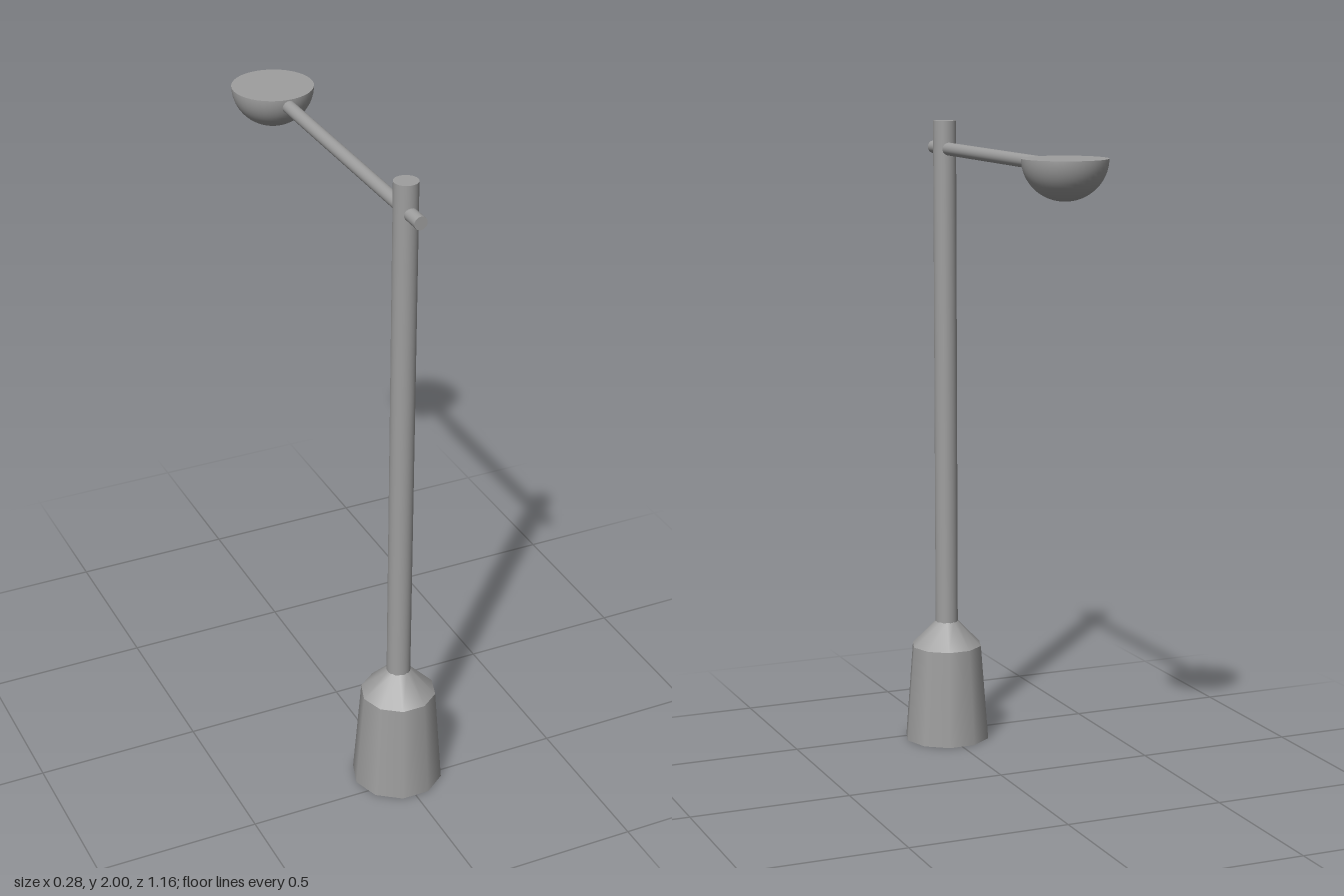
import * as THREE from 'three';

const POLE_Z = 0.447;
const HEAD_Z = -0.455;

export function createModel() {
  const group = new THREE.Group();
  const material = new THREE.MeshStandardMaterial({ color: 0x9e9e9e });

  function add(name, geometry, x, y, z) {
    const mesh = new THREE.Mesh(geometry, material);
    mesh.name = name;
    mesh.position.set(x, y, z);
    group.add(mesh);
  }

  // Ten-sided tapered base with a conical shoulder, corners on the x axis
  const base = new THREE.CylinderGeometry(0.114, 0.138, 0.31, 10).rotateY(Math.PI / 2);
  add('base', base, 0, 0.155, POLE_Z);
  const shoulder = new THREE.CylinderGeometry(0.036, 0.114, 0.08, 10).rotateY(Math.PI / 2);
  add('baseShoulder', shoulder, 0, 0.35, POLE_Z);

  // Upright pole
  add('pole', new THREE.CylinderGeometry(0.036, 0.036, 1.64, 32), 0, 1.18, POLE_Z);

  // Horizontal arm, passing through the pole and into the lamp head
  const arm = new THREE.CylinderGeometry(0.02, 0.02, 0.91, 24).rotateX(Math.PI / 2);
  add('arm', arm, 0, 1.913, 0.085);

  // Lamp head: a downward half sphere closed by a flat lid
  const bowl = new THREE.SphereGeometry(0.124, 40, 16, 0, Math.PI * 2, Math.PI / 2, Math.PI / 2);
  bowl.scale(1, 0.97, 1);
  add('lampBowl', bowl, 0, 1.937, HEAD_Z);
  const lid = new THREE.CircleGeometry(0.124, 40).rotateX(-Math.PI / 2);
  add('lampLid', lid, 0, 1.937, HEAD_Z);

  return group;
}
